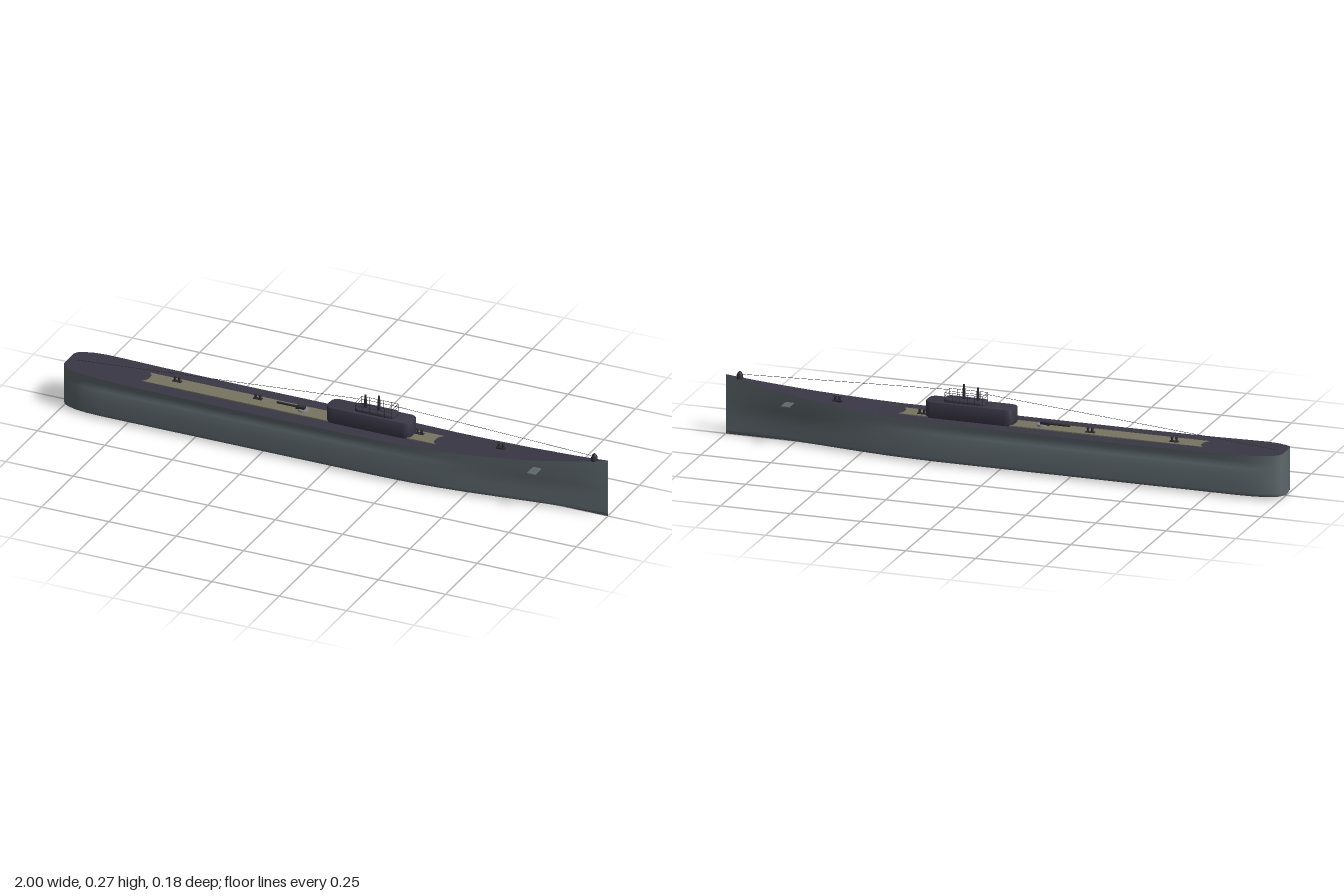
import * as THREE from 'three';
import { toCreasedNormals } from 'three/addons/utils/BufferGeometryUtils.js';

const mat = (name, color) => {
  const m = new THREE.MeshStandardMaterial({ color });
  m.name = name;
  return m;
};

// Hull stations: x, half-width at deck, half-width at waterline, deck height
const STATIONS = [
  [-1, 0.04, 0.04, 0.157], [-0.992, 0.054, 0.053, 0.157], [-0.975, 0.065, 0.064, 0.156],
  [-0.94, 0.077, 0.076, 0.155], [-0.9, 0.083, 0.082, 0.154], [-0.84, 0.086, 0.085, 0.152],
  [-0.7, 0.087, 0.085, 0.149], [-0.4, 0.087, 0.085, 0.147], [0, 0.087, 0.085, 0.147],
  [0.2, 0.086, 0.085, 0.147], [0.3, 0.084, 0.082, 0.147], [0.4, 0.078, 0.075, 0.149],
  [0.5, 0.07, 0.064, 0.154], [0.6, 0.06, 0.05, 0.161], [0.7, 0.049, 0.036, 0.169],
  [0.8, 0.035, 0.022, 0.18], [0.9, 0.019, 0.011, 0.193], [0.96, 0.009, 0.005, 0.202], [1, 0.001, 0.001, 0.209],
];

// Half section from keel to deck edge as [z, y]
function halfSection([x, deckW, lowW, deckY]) {
  const dent = 0.06 * THREE.MathUtils.clamp((0.55 - x) / 0.5, 0, 1) * THREE.MathUtils.clamp((x + 1) / 0.15, 0, 1);
  const mid = (t) => lowW + (deckW - lowW) * t;
  return [
    [0, 0], [lowW * 0.55, 0.006], [lowW * 0.94, 0.0095], [lowW * 0.985, 0.013], [lowW, 0.022],
    [lowW, 0.06], [mid(0.25), 0.097], [mid(0.4) * (1 - dent * 0.5), 0.106],
    [mid(0.5) * (1 - dent), 0.116], [mid(0.7) * (1 - dent * 0.7), 0.13], [deckW, deckY],
  ];
}

function geometryFrom(pos, idx, crease) {
  const g = new THREE.BufferGeometry();
  g.setAttribute('position', new THREE.Float32BufferAttribute(pos, 3));
  g.setIndex(idx);
  return toCreasedNormals(g, crease);
}

function hullGeometry() {
  const pos = [], idx = [];
  let n = 0;
  for (const s of STATIONS) {
    const half = halfSection(s);
    const ring = [...half.slice(1).reverse().map(([z, y]) => [-z, y]), ...half];
    n = ring.length;
    for (const [z, y] of ring) pos.push(s[0], y, z);
  }
  const last = STATIONS.length - 1;
  for (let i = 0; i < last; i++) for (let j = 0; j < n - 1; j++) {
    const a = i * n + j, b = a + n;
    idx.push(a, b, b + 1, a, b + 1, a + 1);
  }
  // Stern and stem caps
  const c = pos.length / 3;
  pos.push(-1, 0.157, 0, 1, 0.209, 0);
  for (let j = 0; j < n - 1; j++) {
    idx.push(c, j, j + 1);
    idx.push(c + 1, last * n + j + 1, last * n + j);
  }
  return geometryFrom(pos, idx, 0.75);
}

function deckGeometry() {
  const pos = [], idx = [];
  STATIONS.forEach(([x, w, , y], i) => {
    pos.push(x, y, -w, x, y, w);
    if (i) {
      const a = 2 * i - 2;
      idx.push(a, a + 1, a + 3, a, a + 3, a + 2);
    }
  });
  return geometryFrom(pos, idx, 0.75);
}

// Rounded plan outline, extruded upwards
function roundedBlock(x0, x1, halfW, r, y0, y1, bevel = 0) {
  const s = new THREE.Shape(), w = halfW - bevel, a = x0 + bevel, b = x1 - bevel;
  s.moveTo(a + r, -w).lineTo(b - r, -w);
  s.quadraticCurveTo(b, -w, b, -w + r).lineTo(b, w - r);
  s.quadraticCurveTo(b, w, b - r, w).lineTo(a + r, w);
  s.quadraticCurveTo(a, w, a, w - r).lineTo(a, -w + r);
  s.quadraticCurveTo(a, -w, a + r, -w);
  const g = new THREE.ExtrudeGeometry(s, {
    depth: y1 - y0 - 2 * bevel, curveSegments: 8, bevelEnabled: bevel > 0,
    bevelSize: bevel, bevelThickness: bevel, bevelSegments: 2,
  });
  g.rotateX(-Math.PI / 2).translate(0, y0 + bevel, 0);
  return toCreasedNormals(g, 0.6);
}

// Planked walkway with scalloped ends
function walkwayGeometry() {
  const s = new THREE.Shape(), a = -0.715, b = 0.375, w = 0.033;
  s.moveTo(a, -w).lineTo(b, -w);
  s.quadraticCurveTo(b - 0.012, -0.022, b - 0.015, -0.012).lineTo(b - 0.015, 0.012);
  s.quadraticCurveTo(b - 0.012, 0.022, b, w).lineTo(a, w);
  s.quadraticCurveTo(a + 0.012, 0.022, a + 0.015, 0.012).lineTo(a + 0.015, -0.012);
  s.quadraticCurveTo(a + 0.012, -0.022, a, -w);
  const g = new THREE.ExtrudeGeometry(s, { depth: 0.004, bevelEnabled: false });
  return g.rotateX(-Math.PI / 2).translate(0, 0.1465, 0);
}

export function createModel() {
  const hullGrey = mat('hull grey', 0x5e686d);
  const deckDark = mat('deck slate', 0x3a3746);
  const wood = mat('weathered planking', 0x77755f);
  const iron = mat('dark iron', 0x2b2b31);
  const steel = mat('light steel', 0x84888a);
  const root = new THREE.Group();
  root.name = 'submarine';

  const add = (name, geo, material, x = 0, y = 0, z = 0, parent = root) => {
    const m = new THREE.Mesh(geo, material);
    m.name = name;
    m.position.set(x, y, z);
    parent.add(m);
    return m;
  };
  // Straight rod between two points
  const rod = (name, from, to, r, material, sides = 5, parent = root) => {
    const a = new THREE.Vector3(...from), b = new THREE.Vector3(...to), d = b.clone().sub(a);
    const m = add(name, new THREE.CylinderGeometry(r, r, d.length(), sides), material, 0, 0, 0, parent);
    m.position.copy(a).add(b).multiplyScalar(0.5);
    m.quaternion.setFromUnitVectors(new THREE.Vector3(0, 1, 0), d.normalize());
    return m;
  };

  add('hull', hullGeometry(), hullGrey);
  add('deck', deckGeometry(), deckDark);
  add('walkway', walkwayGeometry(), wood);

  // Conning tower with raised bridge
  add('conningTower', roundedBlock(-0.035, 0.28, 0.037, 0.026, 0.145, 0.204, 0.003), deckDark);
  add('bridge', roundedBlock(0.068, 0.217, 0.026, 0.018, 0.2, 0.215, 0.002), deckDark);

  // Periscopes
  const scopes = new THREE.Group();
  scopes.name = 'periscopes';
  root.add(scopes);
  for (const [x, top] of [[0.1, 0.246], [0.15, 0.253]]) {
    rod('periscopeTube', [x, 0.21, 0], [x, top, 0], 0.005, iron, 12, scopes);
    rod('periscopeHead', [x, top, 0], [x, top + 0.014, 0], 0.0035, iron, 12, scopes);
  }

  // Bridge railing
  const railing = new THREE.Group();
  railing.name = 'railing';
  root.add(railing);
  for (const side of [-1, 1]) {
    const z = side * 0.026;
    for (let i = 0; i <= 5; i++) {
      const x = 0.075 + i * 0.027;
      rod('railPost', [x, 0.204, z], [x, 0.238, z], 0.0008, iron, 5, railing);
    }
    for (const y of [0.227, 0.238]) rod('sideRail', [0.075, y, z], [0.21, y, z], 0.0007, iron, 5, railing);
  }
  for (const x of [0.075, 0.21]) for (const y of [0.227, 0.238])
    rod('endRail', [x, y, -0.026], [x, y, 0.026], 0.0007, iron, 5, railing);

  // Deck gun
  const gun = new THREE.Group();
  gun.name = 'deckGun';
  root.add(gun);
  add('gunBase', new THREE.CylinderGeometry(0.017, 0.018, 0.008, 20), steel, -0.13, 0.153, 0, gun);
  add('gunMount', new THREE.BoxGeometry(0.032, 0.01, 0.014), iron, -0.14, 0.16, 0, gun);
  rod('gunBarrel', [-0.228, 0.161, 0], [-0.14, 0.161, 0], 0.004, iron, 10, gun);

  // Mooring bollards in pairs
  for (const [x, y] of [[-0.605, 0.147], [-0.305, 0.147], [0.295, 0.147], [0.597, 0.16]]) {
    const pair = new THREE.Group();
    pair.name = 'bollardPair';
    root.add(pair);
    add('bollardPlate', new THREE.BoxGeometry(0.032, 0.006, 0.013), iron, x, y + 0.003, -0.013, pair);
    for (const d of [-0.008, 0.008]) {
      add('bollardPost', new THREE.CylinderGeometry(0.004, 0.004, 0.016, 10), iron, x + d, y + 0.009, -0.013, pair);
      add('bollardCap', new THREE.CylinderGeometry(0.0052, 0.0052, 0.003, 10), iron, x + d, y + 0.018, -0.013, pair);
    }
  }

  // Bow diving planes
  for (const side of [-1, 1])
    add('divingPlane', new THREE.BoxGeometry(0.03, 0.003, 0.05), hullGrey, 0.757, 0.147, side * 0.065);

  // Bow fitting and antenna wires
  const dome = [[0.014, 0], [0.013, 0.012], [0.009, 0.021], [0.004, 0.026], [0, 0.027]];
  add('bowDome', new THREE.LatheGeometry(dome.map(([r, y]) => new THREE.Vector2(r * 0.85, y)), 14), iron, 0.95, 0.199, 0);
  rod('aftWire', [-0.97, 0.157, 0], [0.075, 0.24, 0], 0.0007, iron);
  rod('foreWire', [0.21, 0.242, 0], [0.95, 0.215, 0], 0.0007, iron);
  return root;
}
